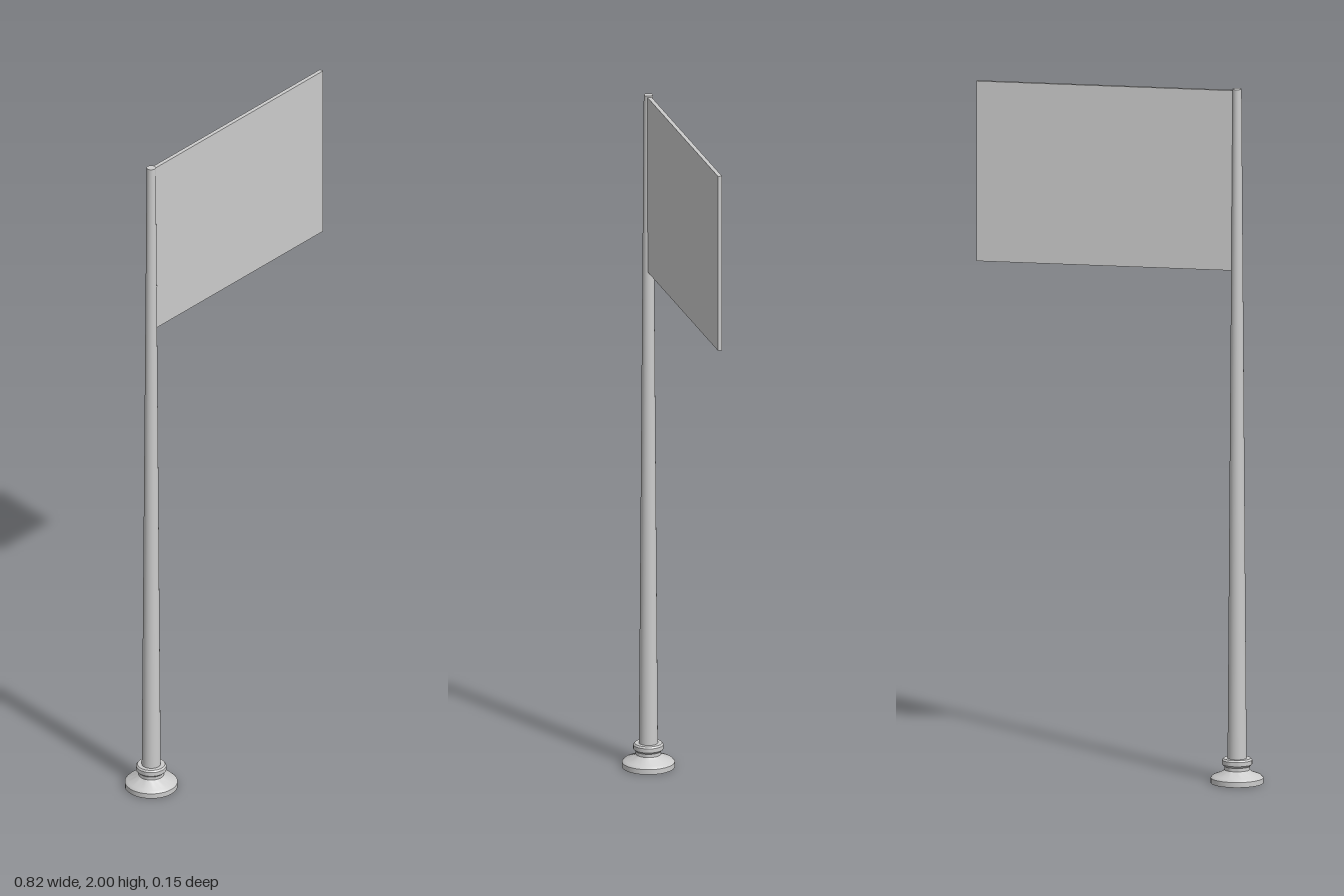
import * as THREE from 'three';
import { toCreasedNormals } from 'three/addons/utils/BufferGeometryUtils.js';

const POLE_X = -0.337;

export function createModel() {
  const model = new THREE.Group();
  model.name = 'flagpole';
  const material = new THREE.MeshStandardMaterial({ color: 0xcccccc });

  const add = (name, geometry, x, y) => {
    const mesh = new THREE.Mesh(geometry, material);
    mesh.name = name;
    mesh.position.set(x, y, 0);
    model.add(mesh);
  };
  const turned = (profile) => toCreasedNormals(
    new THREE.LatheGeometry(profile.map(([r, y]) => new THREE.Vector2(r, y)), 32), 0.6);

  // Round foot: flat disc with a sloping top and a short neck
  add('base', turned([
    [0, 0], [0.075, 0], [0.075, 0.015], [0.068, 0.022],
    [0.042, 0.032], [0.036, 0.038], [0.036, 0.052], [0, 0.052],
  ]), POLE_X, 0);

  // Collar gripping the foot of the pole
  add('collar', turned([
    [0, 0.048], [0.037, 0.048], [0.043, 0.054], [0.043, 0.066], [0.039, 0.071], [0, 0.071],
  ]), POLE_X, 0);

  // Tapered pole
  add('pole', new THREE.CylinderGeometry(0.013, 0.027, 1.94, 32), POLE_X, 1.03);

  // Stiff flat flag, its inner edge set into the pole
  const inner = POLE_X + 0.008, outer = 0.412, bottom = 1.477, top = 1.996;
  add('flag', new THREE.BoxGeometry(outer - inner, top - bottom, 0.012),
    (inner + outer) / 2, (bottom + top) / 2);

  return model;
}
